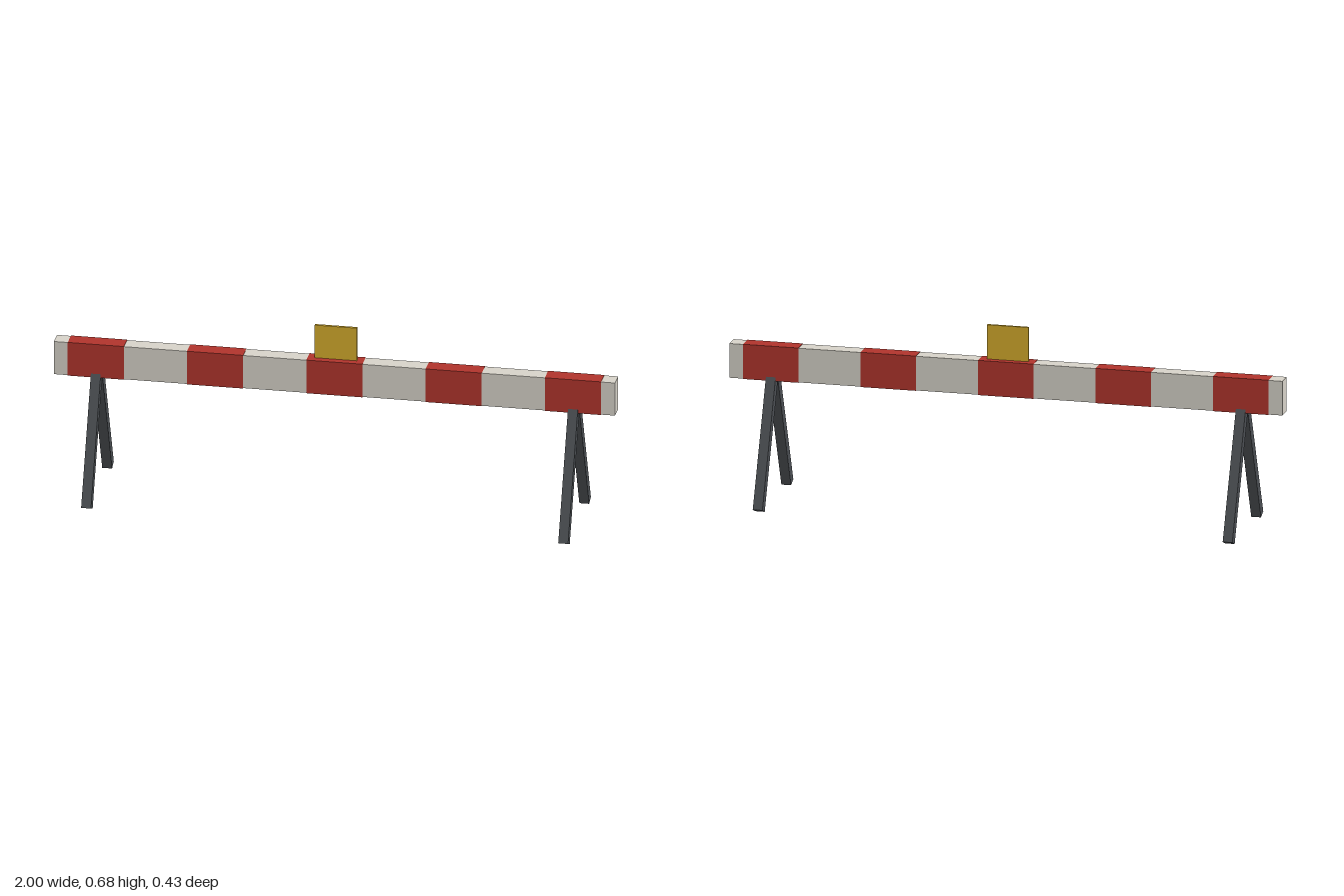
import * as THREE from 'three';

const mat = (name, color) => {
  const m = new THREE.MeshStandardMaterial({ color });
  m.name = name;
  return m;
};

export function createModel() {
  const white = mat('offWhite', 0xd6d2c8);
  const red = mat('signalRed', 0xb0342c);
  const yellow = mat('amberYellow', 0xd4ab2c);
  const dark = mat('darkSteel', 0x4a4e52);

  const model = new THREE.Group();
  model.name = 'barrier';
  const box = (name, material, size, pos) => {
    const mesh = new THREE.Mesh(new THREE.BoxGeometry(...size), material);
    mesh.name = name;
    mesh.position.set(...pos);
    model.add(mesh);
    return mesh;
  };

  // Horizontal beam
  const beamY = 0.497;
  box('beam', white, [2, 0.124, 0.06], [0, beamY, 0]);

  // Red bands wrapping the beam, slightly proud of it
  for (let i = -2; i <= 2; i++) {
    box('redBand', red, [0.2, 0.126, 0.063], [i * 0.425, beamY, 0]);
  }

  // Splayed legs: an A-frame near each end
  const tilt = 0.4, length = 0.5, width = 0.035;
  const footZ = 0.199, footY = (width / 2) * Math.sin(tilt);
  for (const x of [-0.85, 0.85]) {
    for (const side of [-1, 1]) {
      const y = footY + (length / 2) * Math.cos(tilt);
      const z = footZ - (length / 2) * Math.sin(tilt);
      const leg = box(side > 0 ? 'frontLeg' : 'backLeg', dark,
        [width, length, width], [x, y, side * z]);
      leg.rotation.x = -side * tilt;
    }
  }

  // Small plate standing on the middle of the beam
  box('topPlate', yellow, [0.15, 0.125, 0.01], [0, 0.6215, 0]);

  return model;
}
